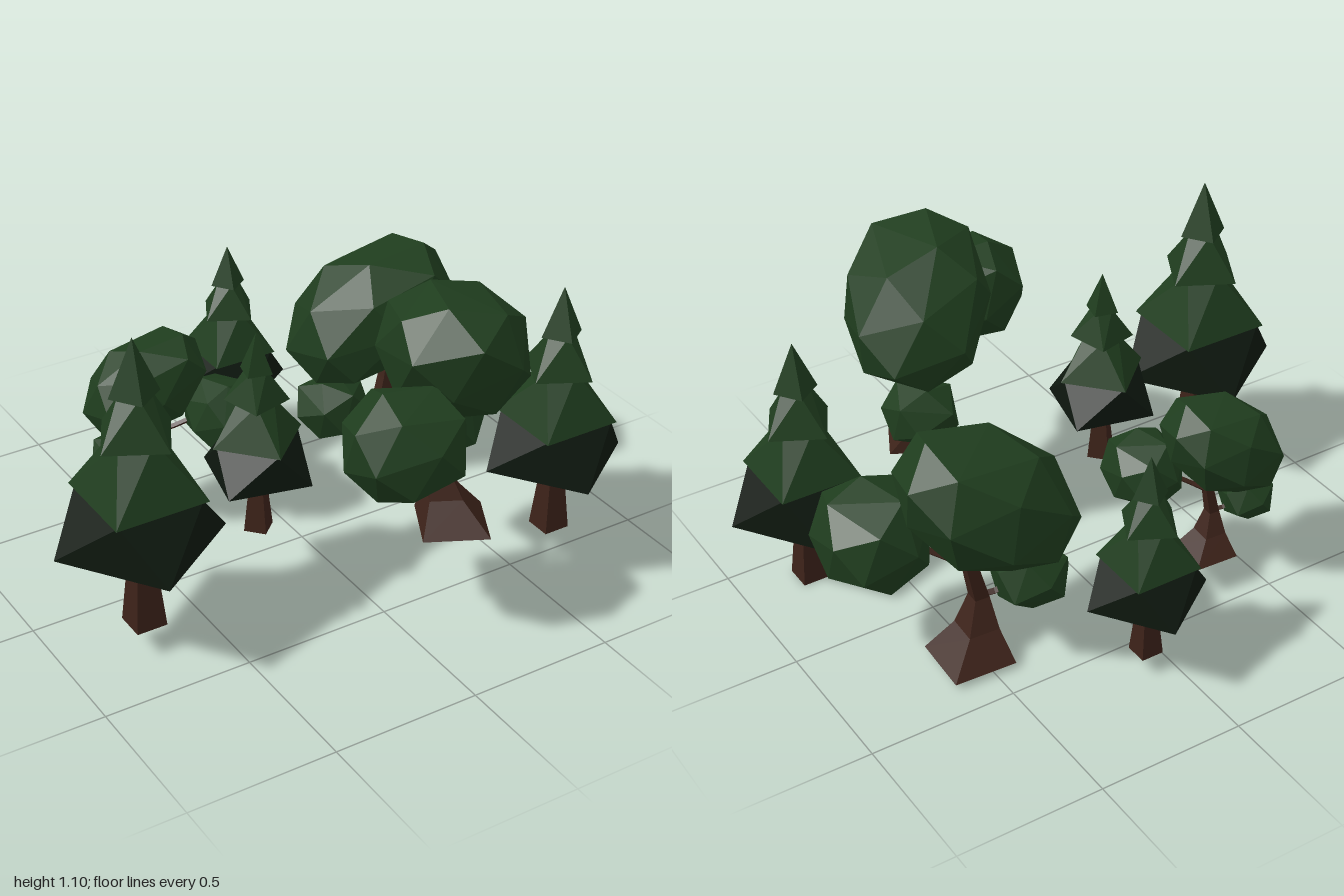
import * as THREE from 'three';
import { ConvexGeometry } from 'three/addons/geometries/ConvexGeometry.js';

const mat = (color) => new THREE.MeshStandardMaterial({ color, flatShading: true });
const bark = mat(0x3c2219);
const leaf = mat(0x1f3d1e);
const shadeLeaf = mat(0x0e180f);
const rad = THREE.MathUtils.degToRad;

// Skin four-sided rings [x, y, z, radius, angle in degrees]; a radius of 0 closes to a point
function loft(rings) {
  const pos = [];
  const pt = ([x, y, z, r, a = 0], k) => {
    const t = rad(a + k * 90);
    return [x + r * Math.cos(t), y, z + r * Math.sin(t)];
  };
  for (let i = 0; i < rings.length - 1; i++) {
    const [lo, hi] = [rings[i], rings[i + 1]];
    for (let k = 0; k < 4; k++) {
      if (lo[3] > 0) pos.push(...pt(lo, k + 1), ...pt(lo, k), ...pt(hi, k));
      if (hi[3] > 0) pos.push(...pt(lo, k + 1), ...pt(hi, k), ...pt(hi, k + 1));
    }
  }
  const g = new THREE.BufferGeometry();
  g.setAttribute('position', new THREE.Float32BufferAttribute(pos, 3));
  g.computeVertexNormals();
  return g;
}

function add(group, name, geometry, material) {
  const m = new THREE.Mesh(geometry, material);
  m.name = name;
  group.add(m);
}

// Chunky leaf clump: hull of points spiralled over a squarish ball, stretched and leaned
function clump(center, half, count, seed, lean = [0, 0]) {
  const chunk = (v) => Math.sign(v) * Math.abs(v) ** 0.88;
  const pts = [];
  for (let i = 0; i < count; i++) {
    const y = 1 - (2 * (i + 0.5)) / count;
    const r = chunk(Math.sqrt(1 - y * y));
    const t = i * 2.39996 + seed;
    const dy = half[1] * chunk(y) * 1.03;
    pts.push(new THREE.Vector3(
      center[0] + half[0] * r * chunk(Math.cos(t)) * 1.03 + lean[0] * dy,
      center[1] + dy,
      center[2] + half[2] * r * chunk(Math.sin(t)) * 1.03 + lean[1] * dy
    ));
  }
  return new ConvexGeometry(pts);
}

// Pine of unit height: square trunk, dark twisted skirt and three stacked tiers
function pine() {
  const g = new THREE.Group();
  add(g, 'pineTrunk', loft([
    [0, 0, 0, 0], [0, 0, 0, 0.073, 45], [0, 0.31, 0, 0.036, 45],
  ]), bark);
  add(g, 'pineSkirt', loft([
    [0, 0.295, 0, 0], [0, 0.295, 0, 0.272, 10], [0, 0.475, 0, 0.2, 45],
  ]), shadeLeaf);
  // hem height, hem radius, top height, top radius, hem angle, top angle
  const tiers = [
    [0.475, 0.22, 0.675, 0.075, 45, 73],
    [0.668, 0.145, 0.82, 0.05, 73, 100],
    [0.812, 0.08, 1, 0, 100, 100],
  ];
  for (const [y0, r0, y1, r1, a0, a1] of tiers) {
    add(g, 'pineTier', loft([
      [0, y0, 0, 0], [0, y0, 0, r0, a0], [0, y1, 0, r1, a1],
    ]), leaf);
  }
  return g;
}

// Broadleaf tree: crooked flared trunk, two branches, three leaf clumps
function broadleaf() {
  const g = new THREE.Group();
  add(g, 'trunk', loft([
    [0, 0, -0.01, 0], [0, 0, -0.01, 0.152, 48], [-0.04, 0.09, 0.012, 0.075, 48],
    [-0.06, 0.19, 0.03, 0.036, 48], [-0.025, 0.33, 0.02, 0.029, 48],
    [0, 0.46, 0.01, 0.023, 48], [-0.03, 0.56, 0, 0.018, 48],
  ]), bark);
  const branches = [
    [[-0.055, 0.19, 0.03], [-0.12, 0.2, 0.01], [-0.2, 0.25, -0.02]],
    [[-0.015, 0.33, 0.02], [0.05, 0.37, 0.07], [0.15, 0.43, 0.13]],
  ];
  for (const b of branches) {
    const curve = new THREE.CatmullRomCurve3(b.map((p) => new THREE.Vector3(...p)));
    add(g, 'branch', new THREE.TubeGeometry(curve, 3, 0.013, 4), bark);
  }
  add(g, 'mainCrown', clump([-0.075, 0.588, -0.01], [0.265, 0.237, 0.235], 24, 0.4, [0.38, 0.1]), leaf);
  add(g, 'sideCrown', clump([0.222, 0.445, 0.19], [0.178, 0.175, 0.195], 20, 1.7), leaf);
  add(g, 'lowCrown', clump([-0.22, 0.25, -0.02], [0.13, 0.11, 0.128], 15, 2.9), leaf);
  return g;
}

export function createModel() {
  const model = new THREE.Group();
  model.name = 'grove';
  const place = (make, name, x, y, z, scale, turn) => {
    const t = make();
    t.name = name;
    t.position.set(x, y, z);
    t.scale.setScalar(scale);
    t.rotation.y = -rad(turn);
    model.add(t);
  };
  // Pines
  place(pine, 'tallPine', -0.73, 0.09, 0.25, 1.01, 0);
  place(pine, 'frontPine', 0.755, 0, 0.375, 0.91, 0);
  place(pine, 'smallPine', -0.265, 0.23, 0.163, 0.71, 48);
  place(pine, 'backPine', 0.08, 0.065, -0.615, 0.745, 0);
  // Broadleaf trees
  place(broadleaf, 'backRoundTree', 0.53, 0.02, -0.28, 1, 0);
  place(broadleaf, 'frontRoundTree', 0.225, 0.28, 0.525, 1, 114);
  place(broadleaf, 'smallRoundTree', -0.33, 0.12, -0.355, 0.71, 0);
  return model;
}
